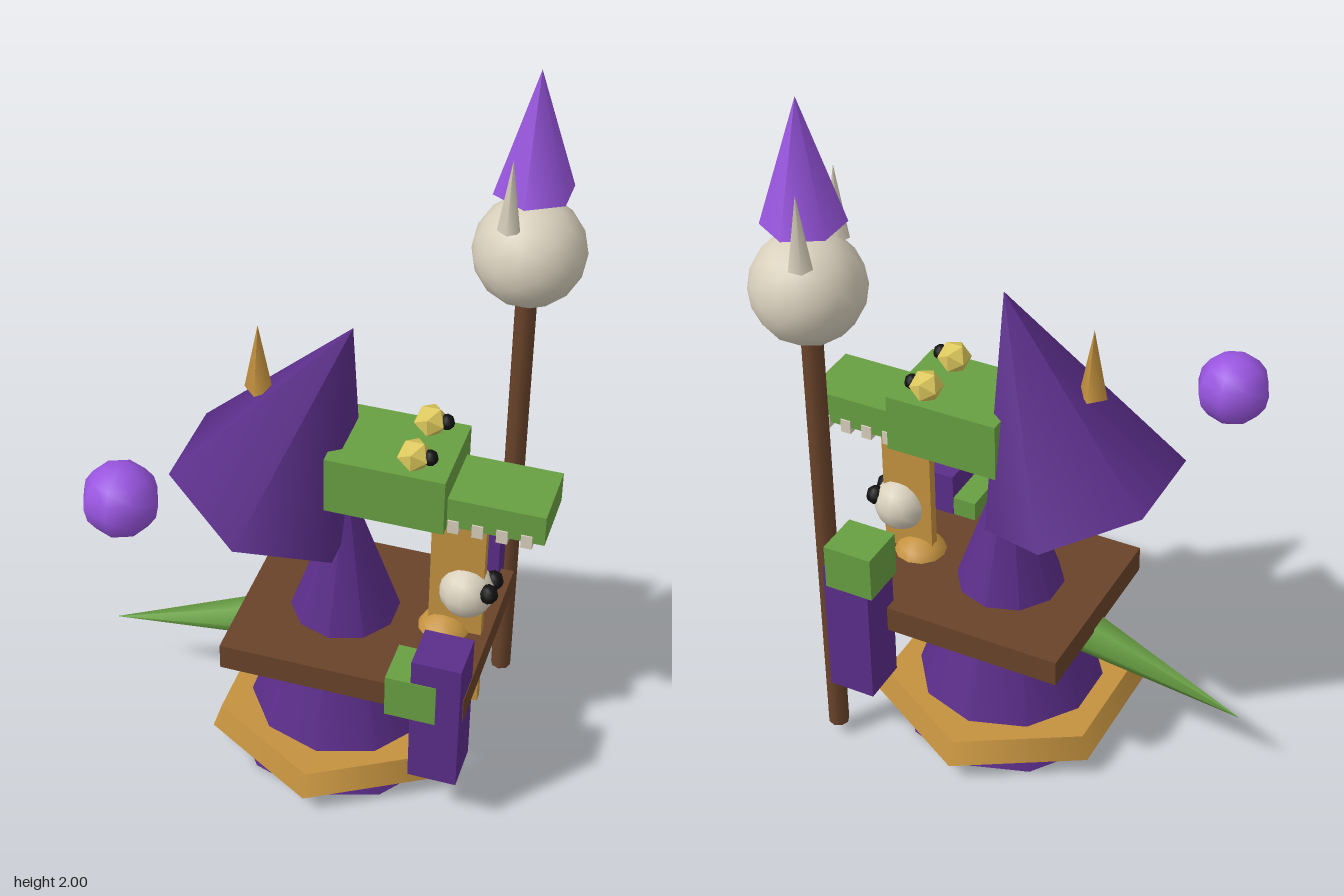
import * as THREE from 'three';

const paint = (name, color) => {
  const m = new THREE.MeshStandardMaterial({ color });
  m.name = name;
  return m;
};

export function createModel() {
  const root = new THREE.Group();
  root.name = 'crocodileWizard';

  const robePurple = paint('robe purple', 0x5b2d8a);
  const magicPurple = paint('magic purple', 0x9955e0);
  const green = paint('scale green', 0x68a042);
  const gold = paint('gold', 0xc4923f);
  const yellow = paint('eye yellow', 0xdcc85c);
  const bone = paint('bone', 0xd8cfbc);
  const brown = paint('wood brown', 0x69432a);
  const black = paint('pupil black', 0x111111);

  const add = (name, geometry, material, x, y, z) => {
    const mesh = new THREE.Mesh(geometry, material);
    mesh.name = name;
    mesh.position.set(x, y, z);
    root.add(mesh);
    return mesh;
  };
  // Box given by its lower and upper limits on each axis
  const box = (name, material, [x0, x1], [y0, y1], [z0, z1]) =>
    add(name, new THREE.BoxGeometry(x1 - x0, y1 - y0, z1 - z0), material,
      (x0 + x1) / 2, (y0 + y1) / 2, (z0 + z1) / 2);
  // Cone standing on base height y
  const cone = (name, material, r, h, sides, x, y, z) =>
    add(name, new THREE.ConeGeometry(r, h, sides), material, x, y + h / 2, z);
  const ball = (name, material, r, x, y, z, w = 12, h = 8) =>
    add(name, new THREE.SphereGeometry(r, w, h), material, x, y, z);

  // Robe with hem band
  cone('robe', robePurple, 0.31, 0.9, 10, 0.073, 0, 0);
  add('hemBand', new THREE.CylinderGeometry(0.36, 0.385, 0.07, 6), gold, 0.073, 0.095, 0);

  // Tray around the body
  box('tray', brown, [-0.2, 0.487], [0.38, 0.458], [-0.275, 0.275]);

  // Tail pointing back and down
  const tailTip = new THREE.Vector3(-0.63, 0.21, 0);
  const tailBase = new THREE.Vector3(-0.17, 0.345, 0);
  const tailDir = tailTip.clone().sub(tailBase);
  const tail = add('tail', new THREE.ConeGeometry(0.06, tailDir.length(), 6), green, 0, 0, 0);
  tail.position.copy(tailTip).add(tailBase).multiplyScalar(0.5);
  tail.quaternion.setFromUnitVectors(new THREE.Vector3(0, 1, 0), tailDir.normalize());

  // Tilted hood and its horn
  const hood = add('hood', new THREE.ConeGeometry(0.285, 0.617, 6), robePurple, -0.032, 1.1, 0);
  hood.rotation.z = -0.394;
  cone('hoodHorn', gold, 0.04, 0.2, 4, -0.17, 1.14, 0);

  // Head and snout
  box('head', green, [0.05, 0.375], [0.885, 1.052], [-0.13, 0.13]);
  box('snout', green, [0.375, 0.635], [0.89, 0.98], [-0.098, 0.098]);

  for (const s of [1, -1]) {
    // Head eyes
    add('eye', new THREE.IcosahedronGeometry(0.047, 0), yellow, 0.278, 1.085, 0.078 * s);
    ball('pupil', black, 0.022, 0.32, 1.087, 0.08 * s, 8, 6);
    // Teeth along the jaw
    for (let i = 0; i < 4; i++) {
      const x = 0.393 + i * 0.065;
      box('tooth', bone, [x - 0.015, x + 0.015], [0.872, 0.912], [0.09 * s - 0.012, 0.09 * s + 0.012]);
    }
    // Small skull eyes
    ball('skullEye', black, 0.028, 0.482, 0.626, 0.03 * s, 8, 6);
    // Staff skull horns
    cone('staffHorn', bone, 0.032, 0.2, 5, 0.417, 1.59, -0.337 + 0.087 * s);
  }

  // Chest panel with knob and small skull
  box('chestPanel', gold, [0.315, 0.465], [0.21, 0.83], [-0.014, 0.014]);
  ball('panelKnob', gold, 0.085, 0.36, 0.42, 0);
  ball('smallSkull', bone, 0.078, 0.417, 0.602, 0);

  // Sleeves and hands
  box('leftSleeve', robePurple, [0.35, 0.485], [0.175, 0.59], [0.178, 0.312]);
  box('leftHand', green, [0.28, 0.42], [0.385, 0.517], [0.18, 0.314]);
  box('rightSleeve', robePurple, [0.315, 0.45], [0.21, 0.625], [-0.372, -0.238]);
  box('rightHand', green, [0.28, 0.42], [0.595, 0.727], [-0.407, -0.273]);

  // Staff topped with a skull and flame
  add('staff', new THREE.CylinderGeometry(0.029, 0.029, 1.34, 8), brown, 0.455, 0.71, -0.337);
  add('staffSkull', new THREE.IcosahedronGeometry(0.15, 2), bone, 0.455, 1.485, -0.337);
  cone('staffFlame', magicPurple, 0.108, 0.335, 6, 0.455, 1.665, -0.337);

  // Floating orb
  ball('floatingOrb', magicPurple, 0.102, -0.41, 1.005, 0.385, 8, 8);

  return root;
}
